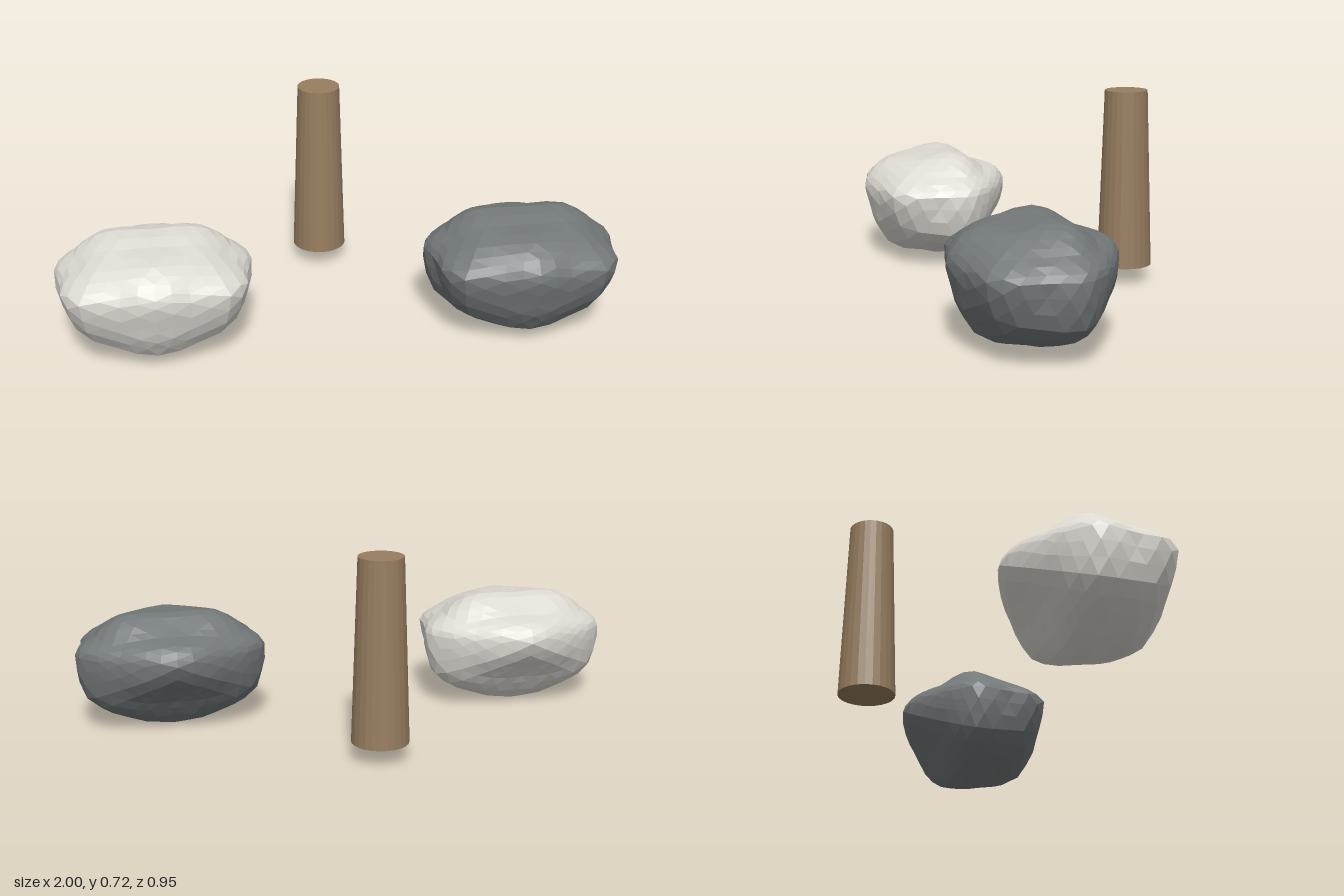
import * as THREE from 'three';

// Heart of the rock; its widest, tallest and longest sections cross here
const CY = 0.285, CZ = 0.15;
// Reach from the heart along each direction
const SIDE = 0.345, UP = 0.137, DOWN = 0.285, FRONT = 0.325, BACK = 0.243;

// Half outlines, each given from one pole of its section to the other
const CROSS = [ // x, y
  [0, 0.422], [0.165, 0.422], [0.24, 0.382], [0.28, 0.345], [0.345, 0.285], [0.344, 0.215],
  [0.328, 0.165], [0.308, 0.112], [0.245, 0.07], [0.165, 0.04], [0.085, 0.014], [0, 0],
];
const PLAN = [ // x, z
  [0, 0.475], [0.1, 0.447], [0.2, 0.432], [0.275, 0.41], [0.317, 0.34], [0.317, 0.25],
  [0.337, 0.19], [0.345, 0.15], [0.34, 0.115], [0.3, 0.07], [0.21, 0], [0.125, -0.05], [0, -0.093],
];
const NOSE = [ // z, y towards the front
  [0.15, 0.422], [0.2, 0.42], [0.27, 0.402], [0.355, 0.402], [0.42, 0.372], [0.45, 0.34],
  [0.475, 0.285], [0.452, 0.2], [0.446, 0.16], [0.41, 0.09], [0.367, 0.03], [0.28, 0.026],
  [0.2, 0], [0.15, 0],
];
const TAIL = [ // z, y towards the back
  [0.15, 0.422], [0.13, 0.422], [0.07, 0.387], [0.02, 0.363], [-0.05, 0.346], [-0.093, 0.29],
  [-0.072, 0.24], [-0.02, 0.18], [0.02, 0.135], [0.06, 0.08], [0.125, 0.008], [0.15, 0],
];

const scaleY = (y) => (y > 0 ? UP : DOWN);
const scaleZ = (z) => (z > 0 ? FRONT : BACK);
const unitX = (x) => x / SIDE;
const unitY = (y) => (y - CY) / scaleY(y - CY);
const unitZ = (z) => (z - CZ) / scaleZ(z - CZ);

// Turns a half outline into [angle, radius] pairs on the unit ball
const polar = (points, across, along) => points.map(([a, b]) => {
  const s = Math.abs(across(a)), t = along(b);
  return [Math.atan2(s, t), Math.hypot(s, t)];
});
const cross = polar(CROSS, unitX, unitY);
const plan = polar(PLAN, unitX, unitZ);
const nose = polar(NOSE, unitZ, unitY);
const tail = polar(TAIL, unitZ, unitY);

function radiusAt(outline, across, along) {
  const angle = Math.atan2(Math.abs(across), along);
  let k = 1;
  while (k < outline.length - 1 && outline[k][0] < angle) k++;
  const [a0, r0] = outline[k - 1], [a1, r1] = outline[k];
  return THREE.MathUtils.mapLinear(angle, a0, a1, r0, r1);
}

// A faceted ball whose radius blends the three sections by nearness to each
function rockGeometry() {
  const geo = new THREE.IcosahedronGeometry(1, 5);
  const pos = geo.attributes.position;
  const near = (d) => 1 / (d * d + 0.0005);
  const n = new THREE.Vector3();
  for (let i = 0; i < pos.count; i++) {
    n.fromBufferAttribute(pos, i).normalize();
    const wx = near(n.x), wy = near(n.y), wz = near(n.z);
    const blend = (
      wx * radiusAt(n.z > 0 ? nose : tail, n.z, n.y) +
      wy * radiusAt(plan, n.x, n.z) +
      wz * radiusAt(cross, n.x, n.y)
    ) / (wx + wy + wz);
    // the upper shoulders between the sections are slightly worn down
    const worn = n.y > 0 ? 0.3 * Math.abs(n.x * n.y * n.z) : 0;
    const r = blend * (1 - worn);
    pos.setXYZ(i, n.x * r * SIDE, CY + n.y * r * scaleY(n.y), CZ + n.z * r * scaleZ(n.z));
  }
  geo.computeVertexNormals();
  return geo;
}

function material(name, color) {
  const m = new THREE.MeshStandardMaterial({ color, flatShading: true });
  m.name = name;
  return m;
}

export function createModel() {
  const group = new THREE.Group();
  group.name = 'rocksAndPost';

  const add = (name, geometry, mat, x, y, z) => {
    const mesh = new THREE.Mesh(geometry, mat);
    mesh.name = name;
    mesh.position.set(x, y, z);
    group.add(mesh);
  };

  // Two matching boulders
  const rock = rockGeometry();
  add('paleRock', rock, material('pale stone', 0xdcd9d2), -0.655, 0, 0);
  add('darkRock', rock, material('dark stone', 0x737879), 0.655, 0, 0);

  // Tapered wooden post
  const post = new THREE.CylinderGeometry(0.079, 0.101, 0.654, 24);
  add('woodenPost', post, material('wood', 0x977e60), -0.003, 0.39, -0.377);

  return group;
}
